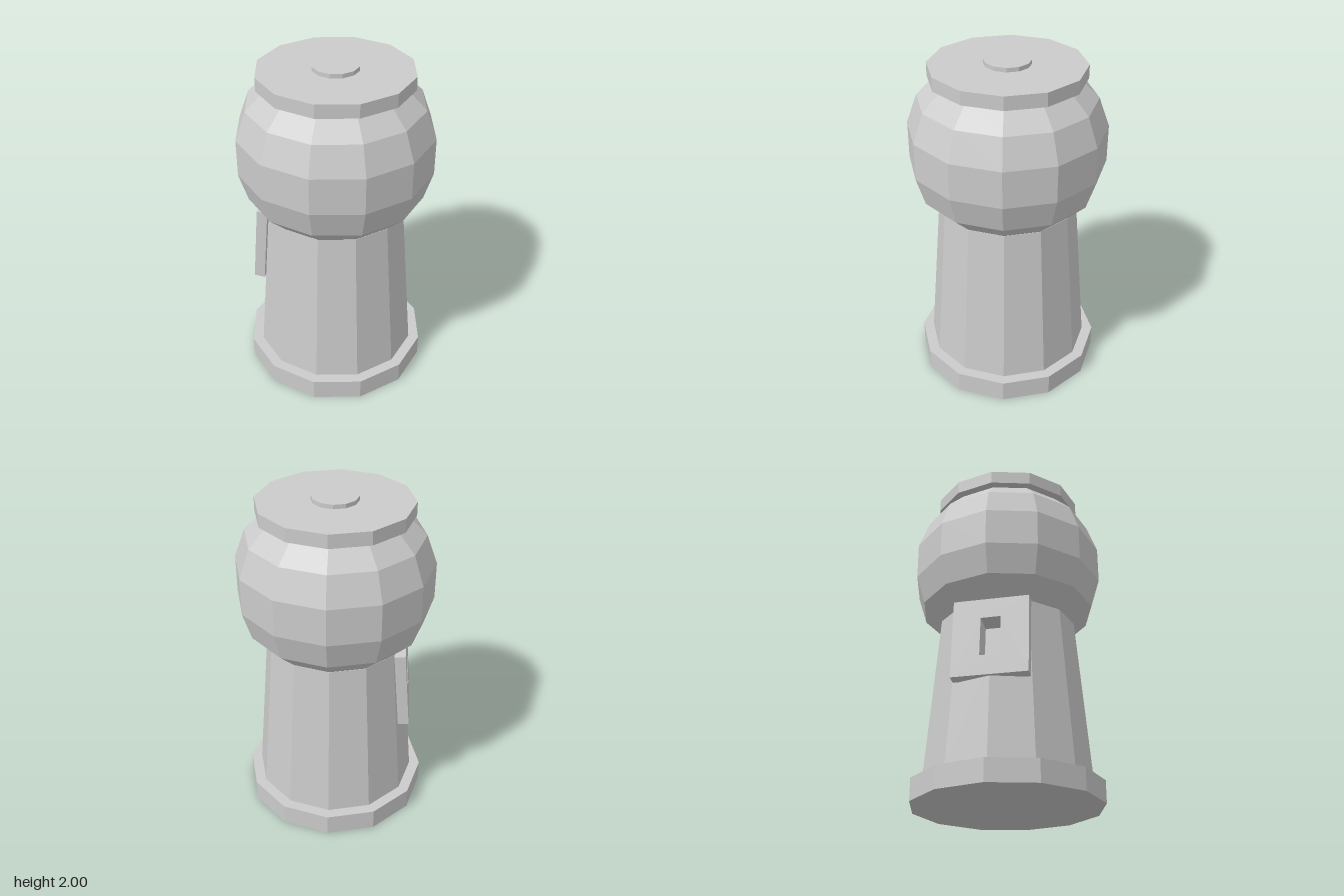
import * as THREE from 'three';

const SIDES = 12;

export function createModel() {
  const model = new THREE.Group();
  model.name = 'dispenser';
  const material = new THREE.MeshStandardMaterial({ color: 0xcccccc, flatShading: true });
  const add = (name, geometry, parent = model, mat = material) => {
    const mesh = new THREE.Mesh(geometry, mat);
    mesh.name = name;
    parent.add(mesh);
    return mesh;
  };
  const disc = (name, radius, y0, y1) =>
    add(name, new THREE.CylinderGeometry(radius, radius, y1 - y0, SIDES)).position.y = (y0 + y1) / 2;

  // Foot, lid and cap
  disc('base', 0.557, 0, 0.13);
  disc('lid', 0.45, 1.895, 1.975);
  disc('lidKnob', 0.135, 1.975, 2);

  // Faceted globe
  const profile = [[0, 1.11], [0.41, 1.11], [0.525, 1.22], [0.577, 1.39], [0.577, 1.61],
    [0.515, 1.78], [0.4, 1.895]].map(([r, y]) => new THREE.Vector2(r, y));
  add('globe', new THREE.LatheGeometry(profile, SIDES));

  // Tapered pedestal, with an opening around the -x edge for the chute
  const yBottom = 0.13, yTop = 1.11, holeLow = 0.742, holeHigh = 0.988, notch = 0.28;
  const positions = [];
  const point = (k, t, y) => {
    const r = THREE.MathUtils.mapLinear(y, yBottom, yTop, 0.492, 0.412);
    const a = (k / SIDES) * Math.PI * 2, b = ((k + 1) / SIDES) * Math.PI * 2;
    return [r * THREE.MathUtils.lerp(Math.sin(a), Math.sin(b), t), y,
      r * THREE.MathUtils.lerp(Math.cos(a), Math.cos(b), t)];
  };
  const quad = (k, t0, t1, y0, y1) => {
    const a = point(k, t0, y0), b = point(k, t1, y0), c = point(k, t1, y1), d = point(k, t0, y1);
    positions.push(...a, ...b, ...c, ...a, ...c, ...d);
  };
  for (let k = 0; k < SIDES; k++) {
    if (k === 8 || k === 9) {
      quad(k, 0, 1, yBottom, holeLow);
      quad(k, 0, 1, holeHigh, yTop);
      if (k === 8) quad(k, 0, 1 - notch, holeLow, holeHigh);
      else quad(k, notch, 1, holeLow, holeHigh);
    } else quad(k, 0, 1, yBottom, yTop);
  }
  const pedestal = new THREE.BufferGeometry();
  pedestal.setAttribute('position', new THREE.Float32BufferAttribute(positions, 3));
  pedestal.computeVertexNormals();
  add('pedestal', pedestal);

  // Chute plate on the -x side, leaning with the pedestal
  const chute = new THREE.Group();
  chute.name = 'chute';
  chute.position.set(-0.447, 0.865, 0);
  chute.rotation.z = -0.0815;
  model.add(chute);

  const rectangle = (target, w, h) => target.moveTo(-w / 2, -h / 2).lineTo(w / 2, -h / 2)
    .lineTo(w / 2, h / 2).lineTo(-w / 2, h / 2).closePath();
  const holeW = 0.116, holeH = 0.24, thickness = 0.065;
  const outline = rectangle(new THREE.Shape(), 0.44, 0.485);
  outline.holes.push(rectangle(new THREE.Path(), holeW, holeH));
  const plate = new THREE.ExtrudeGeometry(outline, { depth: thickness, bevelEnabled: false });
  plate.translate(0, 0, -thickness).rotateY(-Math.PI / 2);
  add('chutePlate', plate, chute);

  // Recess behind the opening, seen from inside
  const inside = material.clone();
  inside.side = THREE.BackSide;
  add('chuteRecess', new THREE.BoxGeometry(0.06, holeH, holeW), chute, inside).position.x = thickness + 0.03;

  return model;
}
